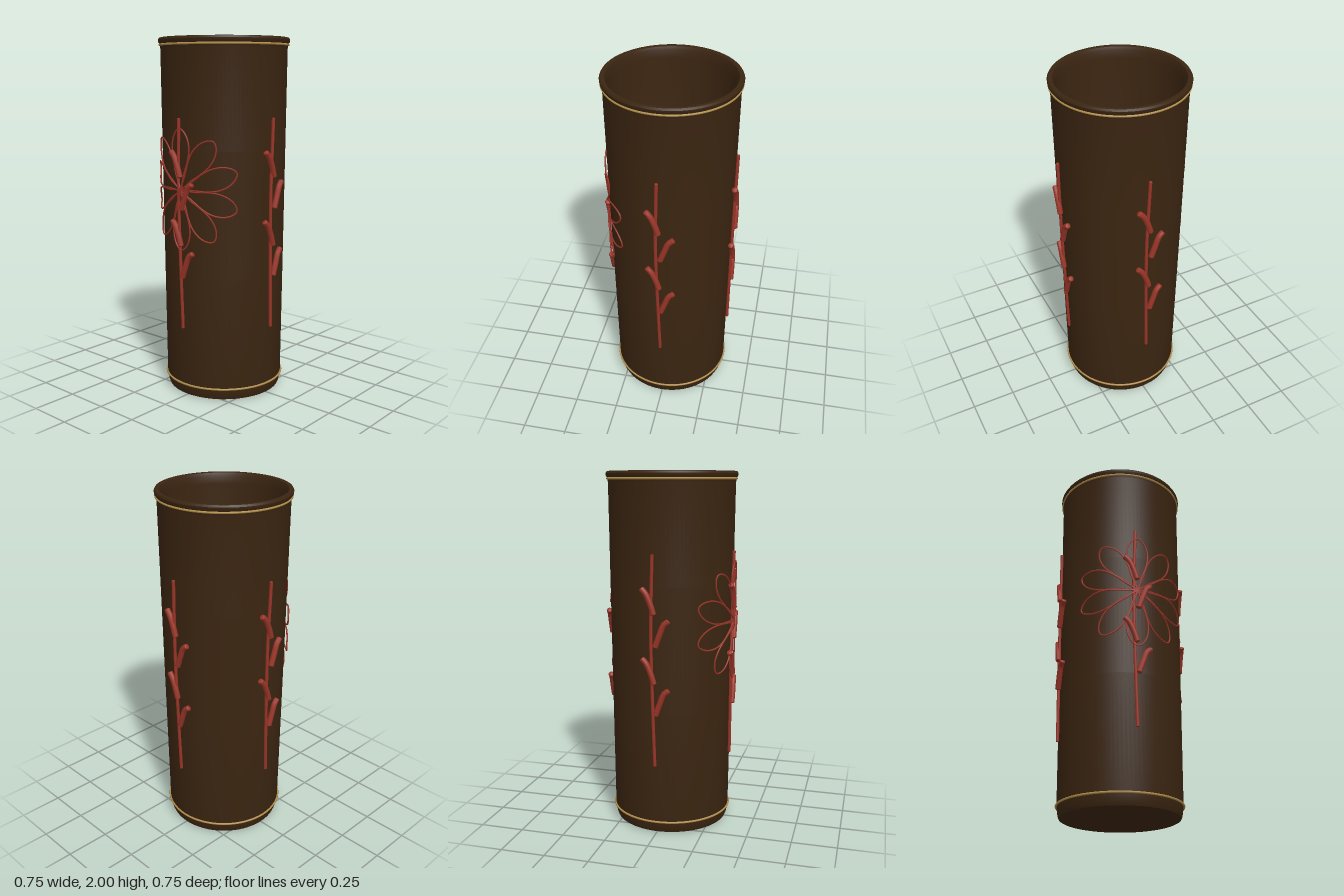
import * as THREE from 'three';
import { toCreasedNormals } from 'three/addons/utils/BufferGeometryUtils.js';

const material = (name, color) => new THREE.MeshStandardMaterial({ name, color });

// radius of the slightly flared outer wall at height y
const wallRadius = (y) => 0.335 + 0.0095 * y;

// place a flat drawing point (u across, y up) on the wall, lifted outward
function onWall(u, y, lift) {
  const r = wallRadius(y) + lift;
  const a = u / 0.35;
  return new THREE.Vector3(Math.sin(a) * r, y, Math.cos(a) * r);
}

export function createModel() {
  const wood = material('dark brown wood', 0x3b2511);
  const red = material('red lacquer', 0x983427);
  const gold = material('gold', 0xb08d48);
  const model = new THREE.Group();
  model.name = 'cylindricalVase';

  const add = (parent, name, geometry, mat) => {
    const mesh = new THREE.Mesh(geometry, mat);
    mesh.name = name;
    parent.add(mesh);
    return mesh;
  };

  // hollow body: underside, outer wall, rolled lip, inner wall, floor
  const profile = [
    [0, 0], [0.312, 0], [0.322, 0.005], [0.328, 0.02], [0.335, 0.065],
    [wallRadius(0.7), 0.7], [wallRadius(1.4), 1.4], [wallRadius(1.94), 1.94],
    [0.358, 1.965], [0.365, 1.975], [0.366, 1.988], [0.36, 1.998], [0.35, 2],
    [0.339, 1.996], [0.332, 1.98], [0.328, 1.94],
    [0.315, 0.1], [0.3, 0.06], [0, 0.06],
  ].map(([r, y]) => new THREE.Vector2(r, y));
  add(model, 'body', toCreasedNormals(new THREE.LatheGeometry(profile, 96), 0.6), wood);

  // gold bands
  for (const [name, r, y] of [['lowerBand', 0.338, 0.068], ['upperBand', 0.358, 1.96]]) {
    const band = add(model, name, new THREE.TorusGeometry(r, 0.006, 8, 96), gold);
    band.rotation.x = Math.PI / 2;
    band.position.y = y;
  }

  // round rod along a path on the wall, closed by a rounded cap at each end
  function addRod(parent, name, points, radius, lift, segments) {
    const rod = new THREE.Group();
    rod.name = name;
    const path = new THREE.CatmullRomCurve3(points.map(([u, y]) => onWall(u, y, lift)));
    add(rod, name + 'Rod', new THREE.TubeGeometry(path, segments, radius, 10), red);
    for (const t of [0, 1]) {
      const cap = add(rod, name + 'Cap', new THREE.SphereGeometry(radius, 10, 8), red);
      cap.position.copy(path.getPoint(t));
      // flatten the cap along the rod direction
      cap.scale.y = 0.35;
      cap.quaternion.setFromUnitVectors(new THREE.Vector3(0, 1, 0), path.getTangent(t));
    }
    parent.add(rod);
  }

  // four identical bamboo sprays around the wall
  for (let i = 0; i < 4; i++) {
    const spray = new THREE.Group();
    spray.name = 'bambooSpray';
    addRod(spray, 'stem', [[-0.003, 0.405], [-0.013, 0.75], [-0.02, 1.15], [-0.01, 1.57]], 0.009, 0.008, 32);
    for (const dy of [0, 0.38]) {
      addRod(spray, 'leftLeaf', [[-0.068, 1.01 + dy], [-0.045, 0.985 + dy], [-0.02, 0.93 + dy], [-0.004, 0.877 + dy]], 0.016, 0.014, 14);
      addRod(spray, 'rightLeaf', [[0.073, 0.84 + dy], [0.05, 0.82 + dy], [0.028, 0.765 + dy], [0.006, 0.702 + dy]], 0.016, 0.014, 14);
    }
    spray.rotation.y = i * Math.PI / 2;
    model.add(spray);
  }

  // outlined flower of ten looped petals on the front
  const flower = new THREE.Group();
  flower.name = 'flower';
  const petalOutline = [
    [0, 0], [0.08, 0.022], [0.16, 0.05], [0.22, 0.06], [0.28, 0.05], [0.32, 0.024],
    [0.332, 0], [0.32, -0.024], [0.28, -0.05], [0.22, -0.06], [0.16, -0.05], [0.08, -0.022],
  ];
  for (let i = 0; i < 10; i++) {
    const a = Math.PI / 2 + i * Math.PI / 5;
    const c = Math.cos(a), s = Math.sin(a);
    const points = petalOutline.map(([d, w]) => onWall(d * c - w * s, 1.185 + d * s + w * c, 0.014));
    const path = new THREE.CatmullRomCurve3(points, true);
    add(flower, 'petal', new THREE.TubeGeometry(path, 64, 0.0045, 6, true), red);
  }
  model.add(flower);

  return model;
}
